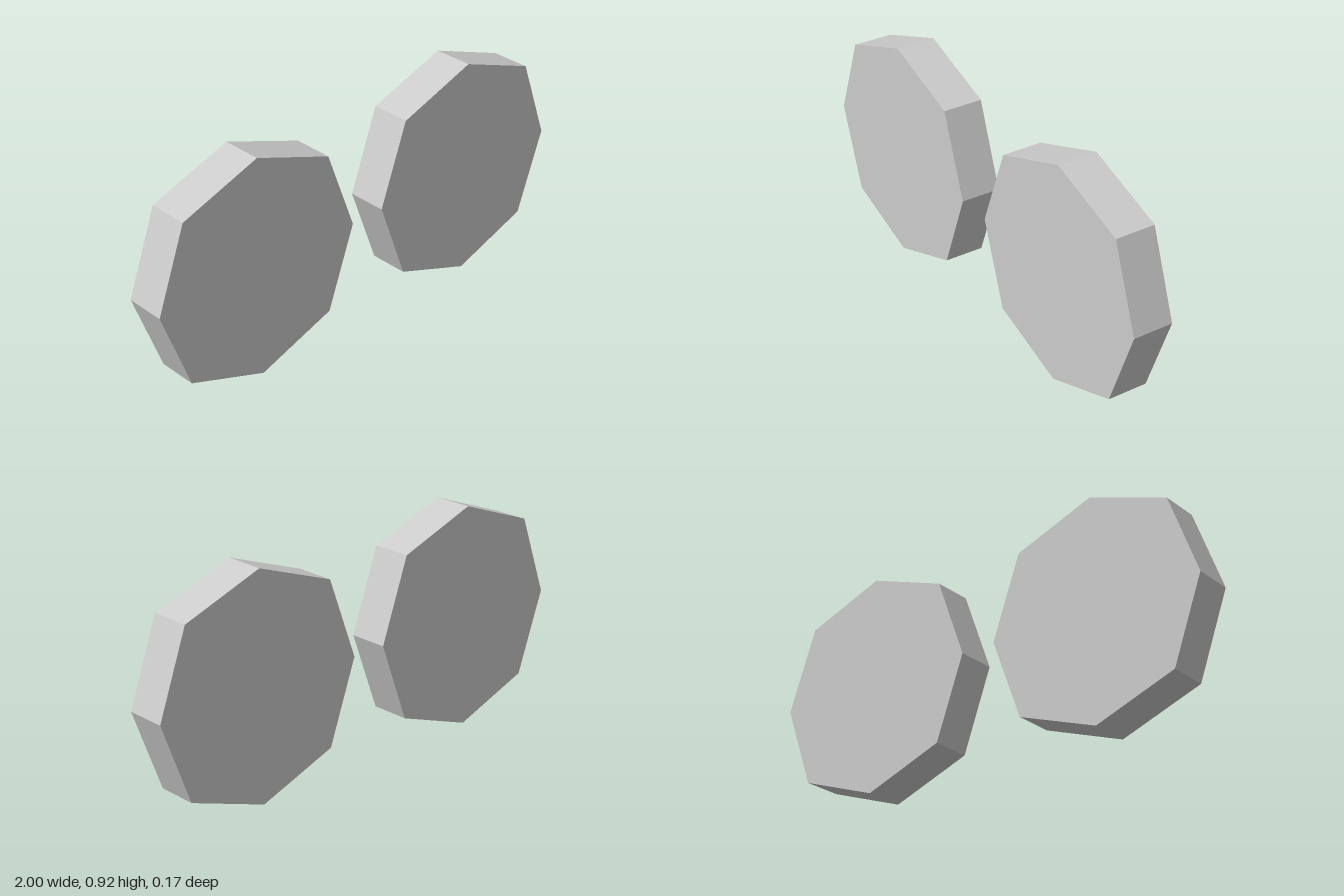
import * as THREE from 'three';

const REACH = 0.462;     // centre to the top, bottom and side corners
const DIAGONAL = 0.479;  // centre to the four diagonal corners
const DEPTH = 0.165;
const SPACING = 0.538;   // disc centre to the middle of the model

// Eight-sided slab, slightly fuller on the diagonals
function discGeometry() {
  const corners = [];
  for (let i = 0; i < 8; i++) {
    const angle = (i * Math.PI) / 4;
    const r = i % 2 ? DIAGONAL : REACH;
    corners.push(new THREE.Vector2(r * Math.cos(angle), r * Math.sin(angle)));
  }
  const geometry = new THREE.ExtrudeGeometry(new THREE.Shape(corners), {
    depth: DEPTH,
    bevelEnabled: false,
  });
  return geometry.translate(0, 0, -DEPTH / 2);
}

export function createModel() {
  const model = new THREE.Group();
  model.name = 'discPair';
  const material = new THREE.MeshStandardMaterial({ color: 0xcccccc, flatShading: true });
  const geometry = discGeometry();

  // Matching discs side by side
  for (const [name, side] of [['leftDisc', 1], ['rightDisc', -1]]) {
    const disc = new THREE.Mesh(geometry, material);
    disc.name = name;
    disc.position.set(side * SPACING, REACH, 0);
    model.add(disc);
  }
  return model;
}
